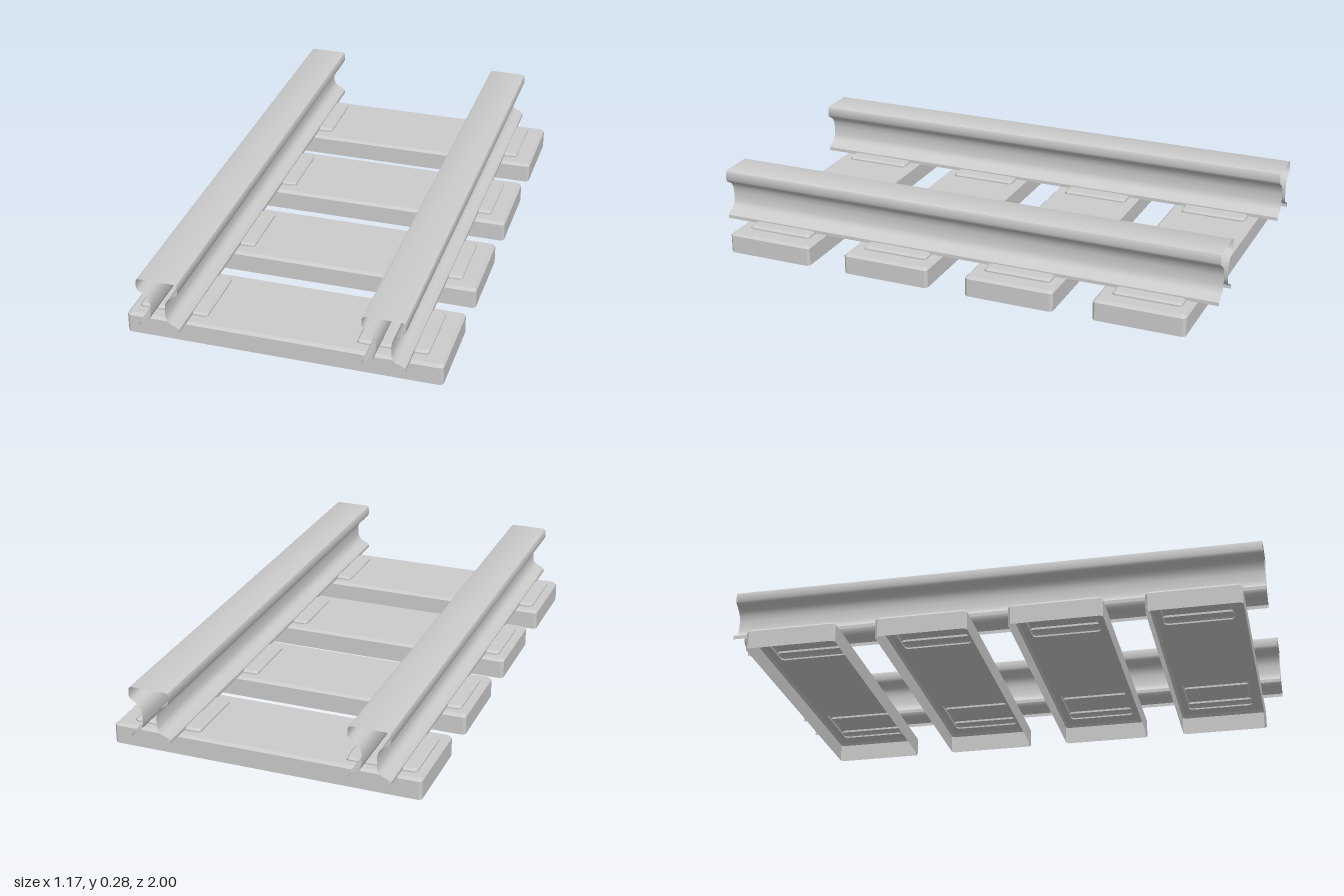
import * as THREE from 'three';
import { mergeGeometries, toCreasedNormals } from 'three/addons/utils/BufferGeometryUtils.js';

const material = new THREE.MeshStandardMaterial({ color: 0xcccccc, side: THREE.DoubleSide });

// Counter-clockwise rectangle with chamfered corners
function chamferedRect(cx, cy, hw, hh, c) {
  return [
    [hw, -hh + c], [hw, hh - c], [hw - c, hh], [-hw + c, hh],
    [-hw, hh - c], [-hw, -hh + c], [-hw + c, -hh], [hw - c, -hh],
  ].map(([x, y]) => new THREE.Vector2(cx + x, cy + y));
}

// Skin between cross-sections, each given as { points, h } with h along z
function loft(sections, closed) {
  const positions = [];
  for (let s = 0; s < sections.length - 1; s++) {
    const low = sections[s], high = sections[s + 1];
    const n = low.points.length;
    for (let i = 0; i < (closed ? n : n - 1); i++) {
      const j = (i + 1) % n;
      const a = [low.points[i].x, low.points[i].y, low.h];
      const b = [low.points[j].x, low.points[j].y, low.h];
      const c = [high.points[j].x, high.points[j].y, high.h];
      const d = [high.points[i].x, high.points[i].y, high.h];
      positions.push(...a, ...b, ...c, ...a, ...c, ...d);
    }
  }
  const geometry = new THREE.BufferGeometry();
  geometry.setAttribute('position', new THREE.Float32BufferAttribute(positions, 3));
  geometry.computeVertexNormals();
  return geometry;
}

// Flat lid at height h, with optional holes
function lid(points, h, holes = []) {
  const shape = new THREE.Shape(points);
  shape.holes = holes.map((hole) => new THREE.Path(hole));
  const geometry = new THREE.ShapeGeometry(shape).toNonIndexed();
  geometry.deleteAttribute('uv');
  return geometry.translate(0, 0, h);
}

function upright(parts) {
  return mergeGeometries(parts).rotateX(-Math.PI / 2);
}

function addMesh(parent, geometry, name, x = 0, z = 0) {
  const mesh = new THREE.Mesh(geometry, material);
  mesh.name = name;
  mesh.position.set(x, 0, z);
  parent.add(mesh);
}

export function createModel() {
  const model = new THREE.Group();
  model.name = 'railTrack';
  const padX = [-0.425, 0.39];
  const tieTop = 0.08;

  // Sleeper: bevelled shell, open below, with openings under the hollow pads
  const tieOuter = chamferedRect(0, 0, 0.585, 0.173, 0.01);
  const tieInner = chamferedRect(0, 0, 0.575, 0.163, 0.007);
  const padHoles = padX.map((x) => chamferedRect(x, 0.007, 0.13, 0.13, 0.01));
  const tieGeometry = upright([
    loft([
      { points: tieOuter, h: 0 },
      { points: tieOuter, h: 0.07 },
      { points: tieInner, h: tieTop },
    ], true),
    lid(tieInner, tieTop, padHoles),
  ]);

  // Rail seat pad
  const padOuter = chamferedRect(0, 0.007, 0.13, 0.13, 0.01);
  const padInner = chamferedRect(0, 0.007, 0.122, 0.122, 0.007);
  const padGeometry = upright([
    loft([
      { points: padOuter, h: tieTop },
      { points: padOuter, h: 0.086 },
      { points: padInner, h: 0.093 },
    ], true),
    lid(padInner, 0.093),
  ]);

  for (const z of [-0.743, -0.245, 0.253, 0.75]) {
    const sleeper = new THREE.Group();
    sleeper.name = 'sleeper';
    sleeper.position.z = z;
    addMesh(sleeper, tieGeometry, 'tie');
    for (const x of padX) addMesh(sleeper, padGeometry, 'railPad', x);
    model.add(sleeper);
  }

  // Rail: flared foot, slim web and rounded head, open at the ends and below
  const half = [
    [0.077, 0.085], [0.077, 0.098], [0.066, 0.108], [0.045, 0.116],
    [0.033, 0.127], [0.028, 0.145], [0.027, 0.18], [0.031, 0.202],
    [0.042, 0.219], [0.06, 0.231], [0.072, 0.238], [0.077, 0.248],
    [0.077, 0.273], [0.074, 0.281], [0.066, 0.285],
  ].map(([x, y]) => new THREE.Vector2(x, y));
  const mirrored = half.map((p) => new THREE.Vector2(-p.x, p.y)).reverse();
  const profile = [...half, ...mirrored];
  const railGeometry = toCreasedNormals(
    loft([{ points: profile, h: -1 }, { points: profile, h: 1 }], false), 0.65);
  addMesh(model, railGeometry, 'rightRail', -0.427);
  addMesh(model, railGeometry, 'leftRail', 0.393);

  return model;
}
